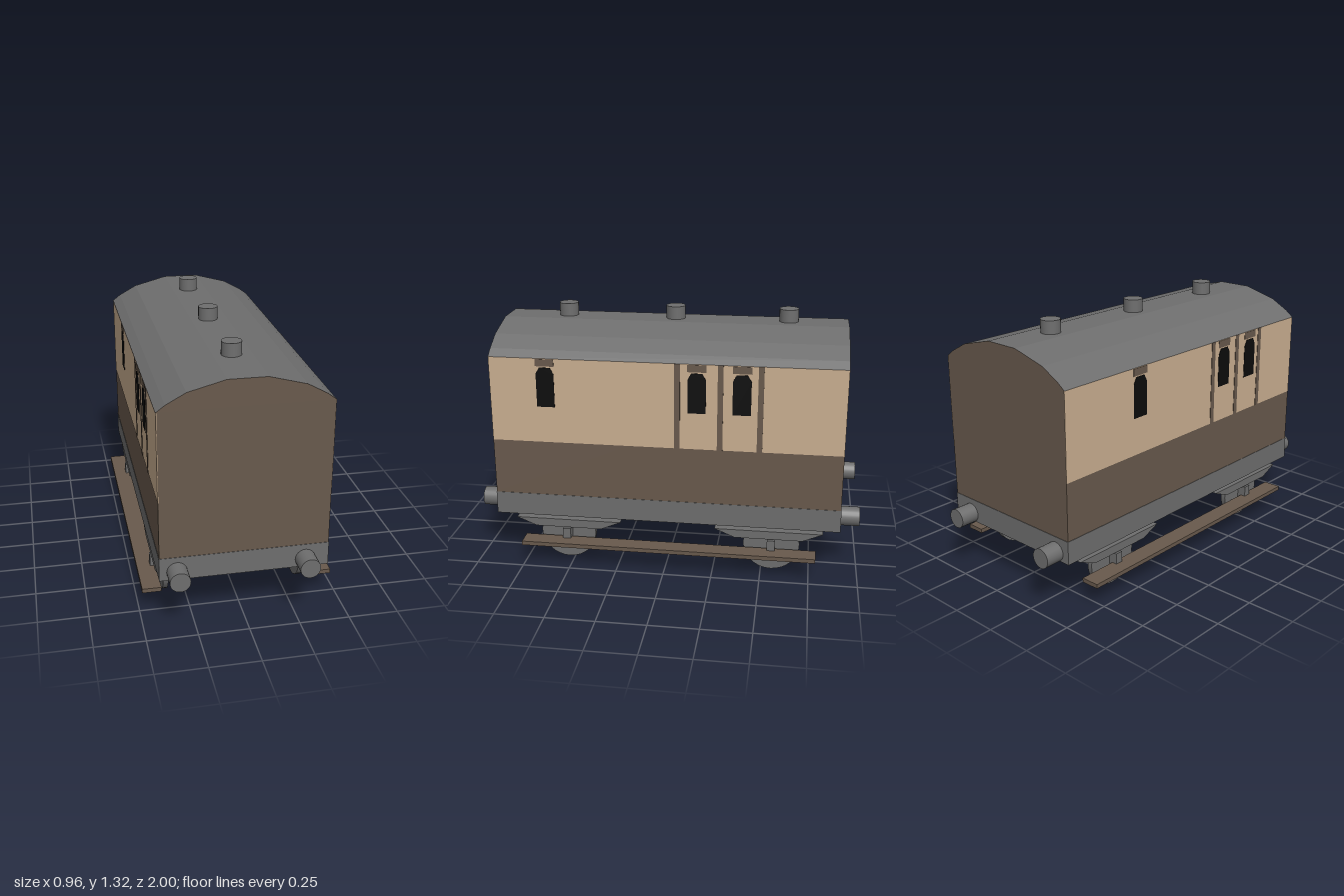
import * as THREE from 'three';

const brown = new THREE.MeshStandardMaterial({ name: 'brown paint', color: 0x68594c });
const cream = new THREE.MeshStandardMaterial({ name: 'cream paint', color: 0xc9ae90 });
const grey = new THREE.MeshStandardMaterial({ name: 'grey metal', color: 0x6e6e6e });
const black = new THREE.MeshStandardMaterial({ name: 'black glass', color: 0x0c0c0c });

function add(parent, name, geometry, material, x = 0, y = 0, z = 0) {
  const mesh = new THREE.Mesh(geometry, material);
  mesh.name = name;
  mesh.position.set(x, y, z);
  parent.add(mesh);
  return mesh;
}

const box = (w, h, d) => new THREE.BoxGeometry(w, h, d);

// Extrudes a polygon along z, centred on z = 0
function prism(points, depth) {
  const shape = new THREE.Shape(points.map(([x, y]) => new THREE.Vector2(x, y)));
  return new THREE.ExtrudeGeometry(shape, { depth, bevelEnabled: false }).translate(0, 0, -depth / 2);
}

// Painted side: local x runs along the coach, local z points outwards
function sidePanel(name, single, pair, posts) {
  const side = new THREE.Group();
  side.name = name;
  add(side, 'creamPanel', box(1.8, 0.445, 0.004), cream, 0, 0.8975, 0.411);
  const arch = [[-0.046, 0.866], [0.046, 0.866], [0.046, 1.04], [0.028, 1.073], [-0.028, 1.073], [-0.046, 1.04]];
  for (const x of [single, ...pair]) {
    add(side, 'window', prism(arch, 0.004), black, x, 0, 0.413);
    add(side, 'windowHood', box(0.096, 0.037, 0.004), brown, x, 1.098, 0.413);
  }
  for (const x of posts) add(side, 'doorPost', box(0.028, 0.445, 0.004), brown, x, 0.8975, 0.413);
  return side;
}

export function createModel() {
  const model = new THREE.Group();
  model.name = 'railwayCoach';
  const coach = new THREE.Group();
  coach.name = 'coach';
  coach.position.x = -0.005;
  model.add(coach);

  // Body and underframe
  add(coach, 'underframe', box(0.828, 0.12, 1.804), grey, 0, 0.32, 0);
  add(coach, 'body', box(0.824, 0.74, 1.8), brown, 0, 0.75, 0);

  // Curved roof with brown gable ends
  const half = [[0.414, 1.12], [0.37, 1.153], [0.275, 1.205], [0.094, 1.253]];
  const profile = [...half, ...half.map(([x, y]) => [-x, y]).reverse()];
  add(coach, 'roof', prism(profile, 1.8), [brown, grey]);
  for (const z of [0.575, 0, -0.592]) {
    add(coach, 'roofVent', new THREE.CylinderGeometry(0.05, 0.05, 0.08, 24), grey, -0.004, 1.28, z);
  }

  // Sides with windows and door posts
  const right = sidePanel('rightSide', -0.61, [0.16, 0.385], [0.062, 0.278, 0.478]);
  right.rotation.y = Math.PI / 2;
  const left = sidePanel('leftSide', -0.4, [0.262, 0.49], [0.17, 0.375, 0.578]);
  left.rotation.y = -Math.PI / 2;
  coach.add(right, left);

  // Buffers at both ends
  for (const z of [-0.945, 0.945]) {
    for (const x of [-0.328, 0.298]) {
      const buffer = add(coach, 'buffer', new THREE.CylinderGeometry(0.05, 0.05, 0.11, 24), grey, x, 0.303, z);
      buffer.rotation.x = Math.PI / 2;
    }
  }

  // Running gear on each side
  const spring = [[-0.28, 0.237], [-0.175, 0.193], [0.175, 0.193], [0.28, 0.237]];
  for (const s of [-1, 1]) {
    for (const z of [0.53, -0.552]) {
      const wheel = add(coach, 'wheel', new THREE.CylinderGeometry(0.147, 0.147, 0.026, 32), grey, s * 0.35, 0.15, z);
      wheel.rotation.z = Math.PI / 2;
      const leaf = add(coach, 'spring', prism(spring, 0.045), grey, s * 0.384, 0, z + (z > 0 ? -0.01 : 0.015));
      leaf.rotation.y = Math.PI / 2;
      add(coach, 'axleBox', box(0.05, 0.078, 0.042), grey, s * 0.387, 0.148, z);
    }
    add(coach, 'footboard', box(0.096, 0.022, 1.54), brown, s * 0.432, 0.12, -0.012);
  }
  return model;
}
